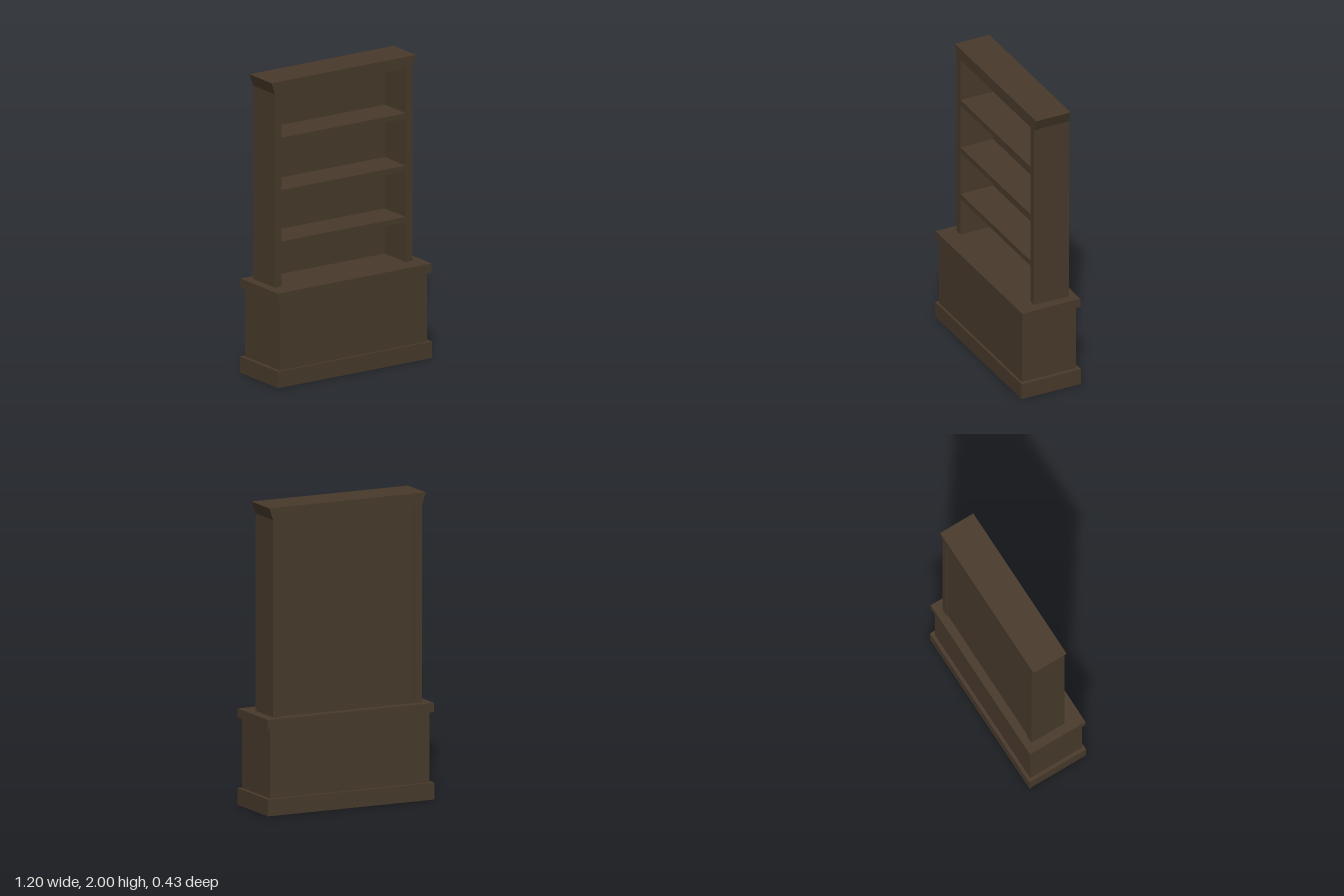
import * as THREE from 'three';

export function createModel() {
  const model = new THREE.Group();
  model.name = 'bookcase';
  const wood = new THREE.MeshStandardMaterial({ color: 0x483a2b });
  wood.name = 'dark wood';

  const add = (name, geometry, parent = model) => {
    const mesh = new THREE.Mesh(geometry, wood);
    mesh.name = name;
    parent.add(mesh);
    return mesh;
  };
  // Box given by its limits on each axis
  const box = (name, x0, x1, y0, y1, z0, z1, parent) =>
    add(name, new THREE.BoxGeometry(x1 - x0, y1 - y0, z1 - z0), parent)
      .position.set((x0 + x1) / 2, (y0 + y1) / 2, (z0 + z1) / 2);

  // Lower cabinet
  const cabinet = new THREE.Group();
  cabinet.name = 'cabinet';
  model.add(cabinet);
  box('plinth', -0.6, 0.6, 0, 0.11, -0.214, 0.214, cabinet);
  box('cabinetBody', -0.576, 0.574, 0.11, 0.57, -0.192, 0.198, cabinet);
  box('counter', -0.6, 0.6, 0.57, 0.63, -0.209, 0.21, cabinet);

  // Open upper bookcase
  const FRONT = 0.09, BACK = -0.16, TOP = 1.92;
  const upper = new THREE.Group();
  upper.name = 'upperShelving';
  model.add(upper);
  box('rightSide', -0.537, -0.486, 0.63, TOP, BACK, FRONT, upper);
  box('leftSide', 0.483, 0.535, 0.63, TOP, BACK, FRONT, upper);
  box('backPanel', -0.486, 0.483, 0.63, TOP, -0.152, -0.146, upper);
  for (const y of [0.893, 1.236, 1.586]) {
    box('shelf', -0.486, 0.483, y, y + 0.038, -0.146, FRONT, upper);
  }

  // Cornice flaring out at the two ends
  const profile = new THREE.Shape([
    [-0.537, TOP], [0.535, TOP], [0.563, 2], [-0.565, 2],
  ].map(([x, y]) => new THREE.Vector2(x, y)));
  add('cornice', new THREE.ExtrudeGeometry(profile, { depth: FRONT - BACK, bevelEnabled: false }), upper)
    .position.z = BACK;

  return model;
}
